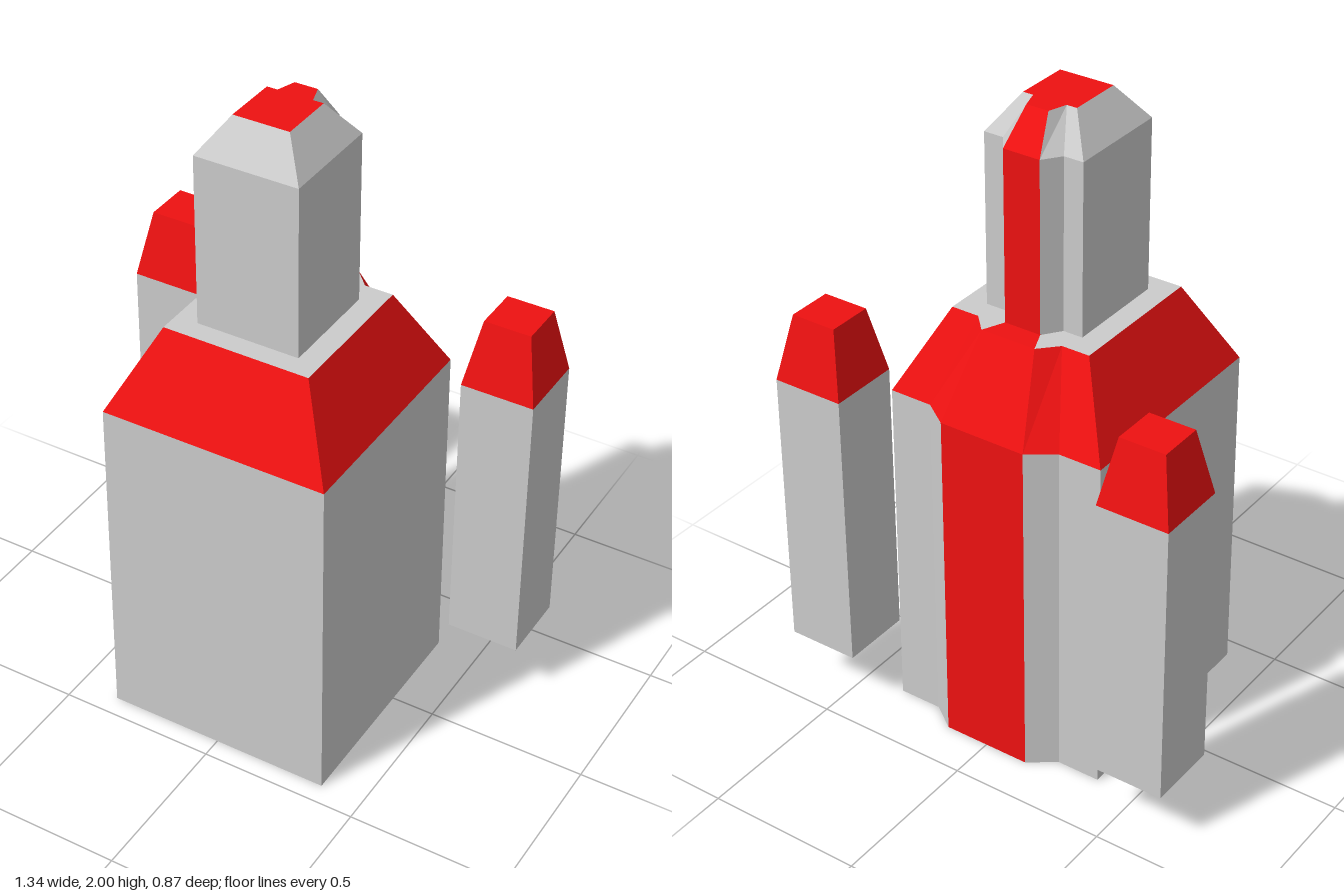
import * as THREE from 'three';

const grey = new THREE.MeshStandardMaterial({ color: 0xcccccc, flatShading: true });
const red = new THREE.MeshStandardMaterial({ color: 0xee1111, flatShading: true });

// Ring of a block with a tapered rib on its back (edge 4 is the flat of the rib)
const ribRing = (y, x, front, back, notchX, ribX, ribZ) => [
  [-x, front], [x, front], [x, back], [notchX, back],
  [ribX, ribZ], [-ribX, ribZ], [-notchX, back], [-x, back],
].map(([px, pz]) => new THREE.Vector3(px, y, pz));

// Plain rectangular ring
const boxRing = (y, x, z, cx, cz) => [[-x, z], [x, z], [x, -z], [-x, -z]]
  .map(([px, pz]) => new THREE.Vector3(cx + px, y, cz + pz));

// Side faces between two rings; only the listed edges, or all
function band(lower, upper, edges = lower.map((_, i) => i)) {
  return edges.flatMap((i) => {
    const j = (i + 1) % lower.length;
    return [lower[i], lower[j], upper[j], lower[i], upper[j], upper[i]];
  });
}

// Flat lid over a ring, facing up or down
function lid(ring, up) {
  const pts = [];
  for (let i = 1; i < ring.length - 1; i++) {
    pts.push(ring[0], ...(up ? [ring[i], ring[i + 1]] : [ring[i + 1], ring[i]]));
  }
  return pts;
}

function addMesh(parent, name, points, material) {
  const geometry = new THREE.BufferGeometry().setFromPoints(points);
  geometry.computeVertexNormals();
  const mesh = new THREE.Mesh(geometry, material);
  mesh.name = name;
  parent.add(mesh);
}

export function createModel() {
  const model = new THREE.Group();
  model.name = 'tower';

  const base = ribRing(0, 0.364, 0.436, -0.295, 0.225, 0.143, -0.354);
  const eaves = ribRing(1.098, 0.36, 0.432, -0.293, 0.223, 0.141, -0.351);
  const deck = ribRing(1.355, 0.233, 0.301, -0.165, 0.143, 0.09, -0.221);
  const foot = ribRing(1.355, 0.163, 0.236, -0.096, 0.1, 0.06, -0.151);
  const neck = ribRing(1.893, 0.163, 0.236, -0.096, 0.1, 0.06, -0.151);
  const crown = ribRing(2, 0.088, 0.156, -0.018, 0.055, 0.036, -0.076);

  const sides = [0, 1, 2, 3, 5, 6, 7];
  const rib = [4];

  // Main body and sloping roof
  addMesh(model, 'bodyWalls', [...band(base, eaves, sides), ...lid(base, false)], grey);
  addMesh(model, 'bodyBackStripe', band(base, eaves, rib), red);
  addMesh(model, 'roof', band(eaves, deck), red);

  // Flat deck around the upper tower
  addMesh(model, 'deck', band(deck, foot, sides), grey);
  addMesh(model, 'deckStripe', band(deck, foot, rib), red);

  // Upper tower with bevelled cap
  addMesh(model, 'upperTower', band(foot, neck, sides), grey);
  addMesh(model, 'upperTowerBackStripe', band(foot, neck, rib), red);
  addMesh(model, 'capBevel', band(neck, crown, sides), grey);
  addMesh(model, 'capTop', [...band(neck, crown, rib), ...lid(crown, true)], red);

  // Free-standing pods at the rear corners
  for (const side of [1, -1]) {
    const pod = new THREE.Group();
    pod.name = side > 0 ? 'leftPod' : 'rightPod';
    const [cx, cz] = [side * 0.556, -0.319];
    const bottom = boxRing(0.183, 0.115, 0.116, cx, cz);
    const shoulder = boxRing(1.095, 0.115, 0.116, cx, cz);
    const tip = boxRing(1.305, 0.074, 0.073, cx, cz);
    addMesh(pod, 'podBody', [...band(bottom, shoulder), ...lid(bottom, false)], grey);
    addMesh(pod, 'podTip', [...band(shoulder, tip), ...lid(tip, true)], red);
    model.add(pod);
  }
  return model;
}
